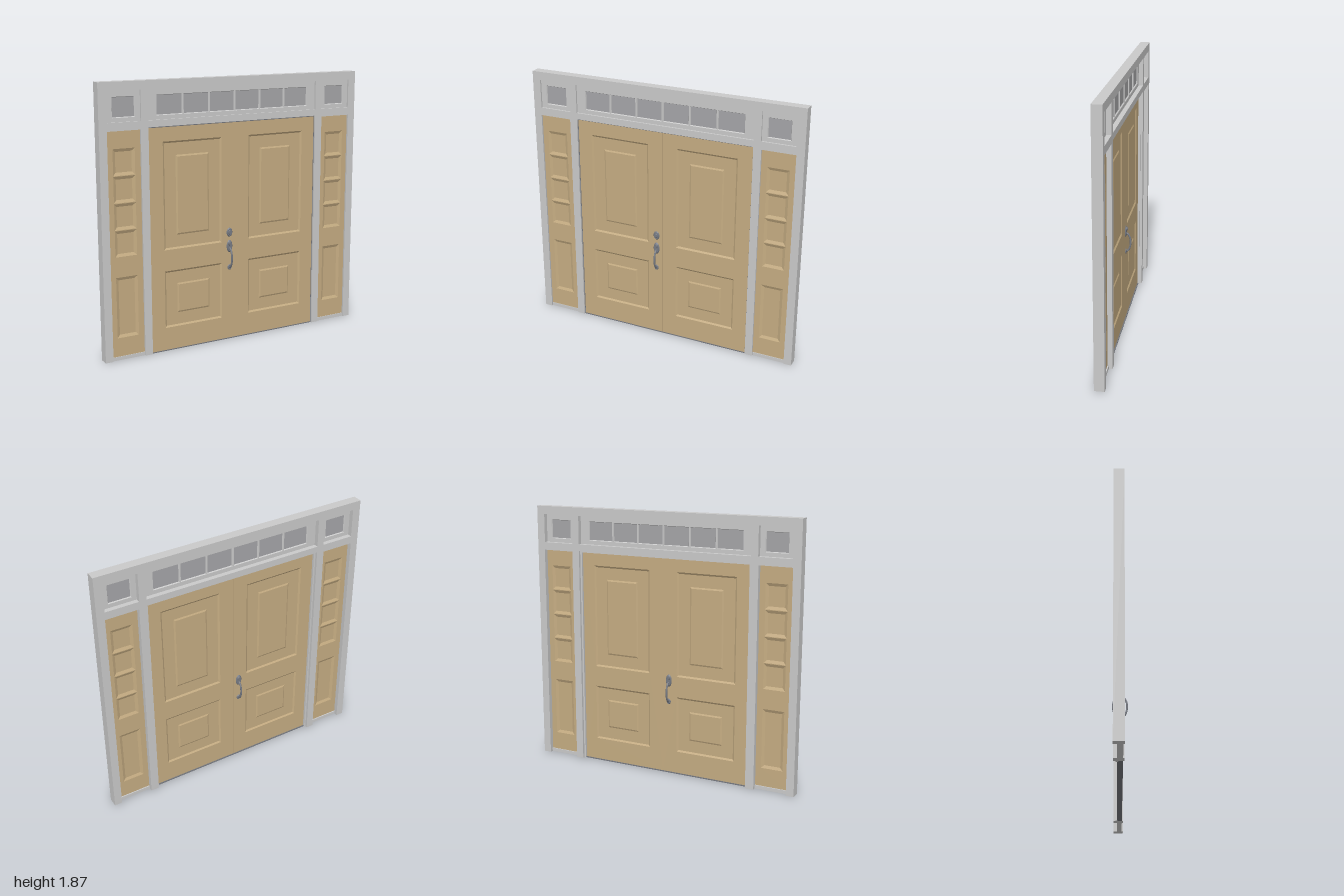
import * as THREE from 'three';

const mat = (name, color) => {
  const m = new THREE.MeshStandardMaterial({ color });
  m.name = name;
  return m;
};

const T = 0.012; // half thickness of the doors and infill boards

function rectPoints([x0, x1, y0, y1]) {
  return [[x0, y0], [x1, y0], [x1, y1], [x0, y1]].map(p => new THREE.Vector2(...p));
}

// Flat board with rectangular openings, extruded between two z values
function board(points, holes, z0, z1) {
  const shape = new THREE.Shape(points);
  for (const h of holes) shape.holes.push(new THREE.Path(rectPoints(h).reverse()));
  const g = new THREE.ExtrudeGeometry(shape, { depth: z1 - z0, bevelEnabled: false });
  g.translate(0, 0, z0);
  return g;
}

// Sloped border (group 0) running to a flat field (group 1); a raised or sunken panel
function panel([x0, x1, y0, y1], inset, zOuter, zInner, withField = true) {
  const a = rectPoints([x0, x1, y0, y1]).map(p => [p.x, p.y, zOuter]);
  const b = rectPoints([x0 + inset, x1 - inset, y0 + inset, y1 - inset]).map(p => [p.x, p.y, zInner]);
  const pos = [];
  const quad = (p, q, r, s) => pos.push(...p, ...q, ...r, ...p, ...r, ...s);
  for (let i = 0; i < 4; i++) {
    const j = (i + 1) % 4;
    quad(a[i], a[j], b[j], b[i]);
  }
  if (withField) quad(...b);
  const g = new THREE.BufferGeometry();
  g.setAttribute('position', new THREE.Float32BufferAttribute(pos, 3));
  g.computeVertexNormals();
  g.addGroup(0, 24, 0);
  if (withField) g.addGroup(24, 6, 1);
  return g;
}

export function createModel() {
  const model = new THREE.Group();
  model.name = 'doubleEntryDoor';
  const frameMat = mat('frame grey', 0xcacaca);
  const wood = mat('tan wood', 0xc5ac82);
  const glass = mat('pane grey', 0xa5a5a8);
  const metal = mat('handle metal', 0x777b84);
  const seal = mat('seal grey', 0x74767c);

  const add = (parent, name, geometry, material) => {
    const m = new THREE.Mesh(geometry, material);
    m.name = name;
    parent.add(m);
    return m;
  };
  const box = (parent, name, material, x0, x1, y0, y1, z0, z1) => {
    const m = add(parent, name, new THREE.BoxGeometry(x1 - x0, y1 - y0, z1 - z0), material);
    m.position.set((x0 + x1) / 2, (y0 + y1) / 2, (z0 + z1) / 2);
  };
  // Rectangles are given for the +x side
  const flip = ([x0, x1, y0, y1], s) => (s > 0 ? [x0, x1, y0, y1] : [-x1, -x0, y0, y1]);

  // Surround with door and sidelight notches and three transom openings
  const outline = [[-1, 0], [-0.945, 0], [-0.945, 1.55], [-0.71, 1.55], [-0.71, 0], [-0.655, 0],
    [-0.655, 1.56], [0.655, 1.56], [0.655, 0], [0.71, 0], [0.71, 1.55], [0.945, 1.55], [0.945, 0],
    [1, 0], [1, 1.865], [-1, 1.865]].map(p => new THREE.Vector2(...p));
  const transoms = [[-0.655, 0.655, 1.605, 1.807], [0.706, 0.942, 1.605, 1.807], [-0.942, -0.706, 1.605, 1.807]];
  add(model, 'surroundFrame', board(outline, transoms, -0.045, 0.025), frameMat);

  // Transom boards and the panes sunk in them
  const panes = [];
  for (let i = 0; i < 6; i++) {
    const c = (i - 2.5) * 0.1975;
    panes.push([c - 0.095, c + 0.095, 1.633, 1.768]);
  }
  const sidePane = [0.742, 0.902, 1.633, 1.768];
  const paneSets = [panes, [sidePane], [flip(sidePane, -1)]];
  transoms.forEach((t, i) => add(model, 'transomBoard', board(rectPoints(t), paneSets[i], -T, T), frameMat));

  // Door leaves and sidelight boards, pierced where panels sit
  const doorPanels = [[0.107, 0.549, 0.717, 1.457], [0.107, 0.549, 0.165, 0.568]];
  const sidePanels = [[0.75, 0.905, 0.155, 0.575]];
  for (let i = 0; i < 4; i++) sidePanels.push([0.75, 0.905, 0.715 + i * 0.181, 0.891 + i * 0.181]);
  for (const s of [1, -1]) {
    add(model, 'doorLeaf', board(rectPoints(flip([0.001, 0.65, 0.006, 1.553], s)),
      doorPanels.map(p => flip(p, s)), -T, T), wood);
    add(model, 'sidelightBoard', board(rectPoints(flip([0.71, 0.945, 0.025, 1.55], s)),
      sidePanels.map(p => flip(p, s)), -T, T), wood);
    const [a, b] = flip([0.71, 0.945, 0, 0], s);
    box(model, 'sidelightSill', frameMat, a, b, 0, 0.025, -0.02, 0.016);
    // Seal beside the leaf and stop behind it
    const [c, d] = flip([0.65, 0.655, 0, 0], s);
    box(model, 'sideSeal', seal, c, d, 0, 1.56, -T, T);
    const [e, f] = flip([0.642, 0.655, 0, 0], s);
    box(model, 'sideStop', frameMat, e, f, 0, 1.56, -0.028, -T);
  }
  box(model, 'topSeal', seal, -0.65, 0.65, 1.553, 1.56, -T, T);
  box(model, 'topStop', frameMat, -0.642, 0.642, 1.547, 1.56, -0.028, -T);
  box(model, 'threshold', seal, -0.655, 0.655, 0, 0.006, -0.02, 0.016);

  // Lever set: oval rose, thumb piece and curved grip
  const oval = (parent, name, y, rx, ry, z, depth) => {
    const g = new THREE.CylinderGeometry(0.8, 1, depth, 28);
    g.rotateX(Math.PI / 2);
    g.scale(rx, ry, 1);
    const m = add(parent, name, g, metal);
    m.position.set(0, y, z + depth / 2);
  };
  const handleSet = withLock => {
    const g = new THREE.Group();
    g.name = 'handleSet';
    oval(g, 'upperRose', 0.683, 0.023, 0.044, T, 0.007);
    oval(g, 'lowerRose', 0.53, 0.016, 0.02, T, 0.006);
    oval(g, 'thumbPiece', 0.702, 0.012, 0.014, T + 0.007, 0.008);
    const path = new THREE.CatmullRomCurve3([[0.672, T], [0.662, 0.03], [0.635, 0.044], [0.6, 0.048],
      [0.562, 0.043], [0.538, 0.03], [0.528, T]].map(([y, z]) => new THREE.Vector3(0, y, z)));
    add(g, 'grip', new THREE.TubeGeometry(path, 32, 0.0065, 10), metal);
    if (withLock) {
      oval(g, 'deadboltRose', 0.783, 0.023, 0.032, T, 0.007);
      oval(g, 'deadboltCylinder', 0.783, 0.012, 0.017, T + 0.007, 0.005);
    }
    return g;
  };

  // Panel faces for both sides of the model; the back is the same layout turned round
  for (const front of [true, false]) {
    const side = new THREE.Group();
    side.name = front ? 'frontDetails' : 'backDetails';
    side.rotation.y = front ? 0 : Math.PI;
    for (const s of [1, -1]) {
      for (const r of doorPanels) {
        const [x0, x1, y0, y1] = flip(r, s);
        add(side, 'doorMoulding', panel([x0, x1, y0, y1], 0.012, T, T - 0.008), [wood, wood]);
        add(side, 'raisedField', panel([x0 + 0.096, x1 - 0.096, y0 + 0.096, y1 - 0.096],
          0.011, T - 0.008, T - 0.003), [wood, wood]);
      }
      for (const r of sidePanels)
        add(side, 'sidelightPanel', panel(flip(r, s), 0.02, T, T - 0.009), [wood, wood]);
    }
    for (const r of paneSets.flat())
      add(side, 'transomPane', panel(r, 0.004, T, T - 0.008), [frameMat, glass]);
    const handle = handleSet(front);
    handle.position.x = front ? -0.045 : 0.045;
    side.add(handle);
    model.add(side);
  }
  return model;
}
